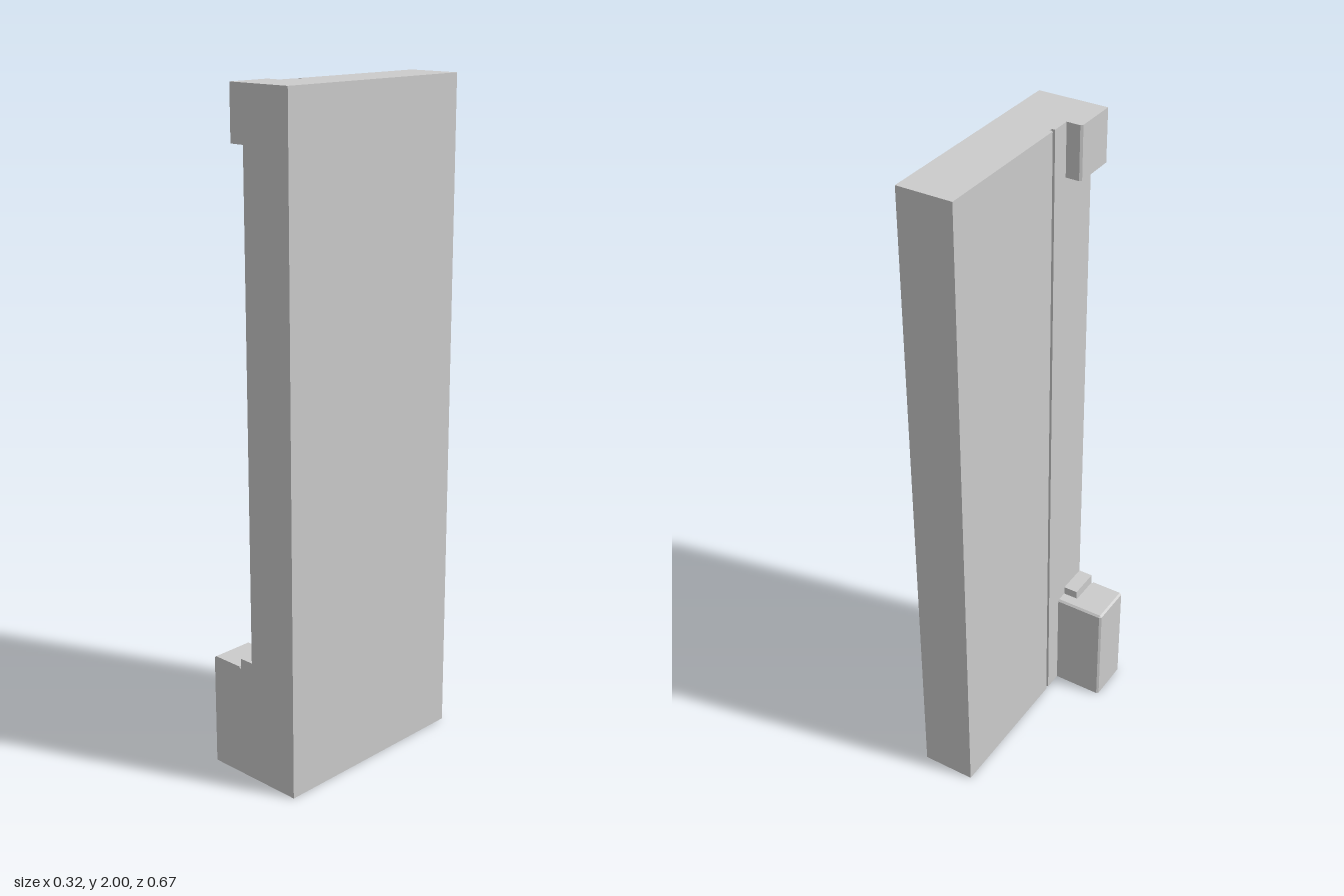
import * as THREE from 'three';
import { ConvexGeometry } from 'three/addons/geometries/ConvexGeometry.js';

const material = new THREE.MeshStandardMaterial({ color: 0xcccccc, flatShading: true });

const X0 = -0.004, X1 = 0.162;   // slab faces
const Z = 0.333;                 // half depth of the slab
const ZB = 0.197;                // back face of the brackets
const C = 0.006;                 // chamfer size

function addMesh(group, name, geometry) {
  const mesh = new THREE.Mesh(geometry, material);
  mesh.name = name;
  group.add(mesh);
  return mesh;
}

function addBox(group, name, [x0, x1], [y0, y1], [z0, z1]) {
  const mesh = addMesh(group, name, new THREE.BoxGeometry(x1 - x0, y1 - y0, z1 - z0));
  mesh.position.set((x0 + x1) / 2, (y0 + y1) / 2, (z0 + z1) / 2);
}

// Convex solid from horizontal rings: [height, [[x, z], ...]]
function addHull(group, name, rings) {
  const points = rings.flatMap(([y, ring]) => ring.map(([x, z]) => new THREE.Vector3(x, y, z)));
  addMesh(group, name, new ConvexGeometry(points));
}

// Plan outline with its back right corner cut off
const cutCorner = (x0, x1) => [[x0, Z], [x0, ZB + C], [x0 + C, ZB], [x1, ZB], [x1, Z]];

export function createModel() {
  const group = new THREE.Group();
  const middle = 0.06;

  // Inner half of the slab, with a groove running the full height
  const plan = [
    [X0, -Z], [middle, -Z], [middle, Z], [X0, Z],
    [X0, 0.139], [0.007, 0.139], [0.007, 0.127], [X0, 0.127],
  ];
  const inner = new THREE.ExtrudeGeometry(
    new THREE.Shape(plan.map(([x, z]) => new THREE.Vector2(x, -z))),
    { depth: 2, bevelEnabled: false });
  inner.rotateX(-Math.PI / 2);
  addMesh(group, 'groovedSlab', inner);

  // Outer half of the slab, with a small slot in its face
  const rect = (z0, z1, y0, y1) =>
    [[-z0, y0], [-z1, y0], [-z1, y1], [-z0, y1]].map(([a, b]) => new THREE.Vector2(a, b));
  const face = new THREE.Shape(rect(-Z, Z, 0, 2));
  face.holes.push(new THREE.Path(rect(0.132, 0.143, 0.338, 0.375)));
  const outer = new THREE.ExtrudeGeometry(face, { depth: X1 - middle, bevelEnabled: false });
  outer.rotateY(Math.PI / 2).translate(middle, 0, 0);
  addMesh(group, 'slottedSlab', outer);

  // Foot block, chamfered along its top and its back corner
  const top = 0.343, split = -0.057, xf = -0.162;
  const foot = cutCorner(xf, split);
  addHull(group, 'footBlock', [
    [0, foot], [top - C, foot],
    [top, [[xf + C, Z], [xf + C, ZB + C], [split, ZB + C], [split, Z]]],
  ]);
  const neck = [[split, 0.235], [split, ZB], [X0, ZB], [X0, 0.235]];
  addHull(group, 'footNeck', [
    [0, neck], [top - C, neck],
    [top, [[split, 0.235], [split, ZB + C], [X0, ZB + C], [X0, 0.235]]],
  ]);

  // Shallow channel beside the raised step
  addBox(group, 'footChannel', [split, X0], [0, top - 0.005], [0.235, Z]);
  addBox(group, 'footStep', [-0.05, X0], [top - 0.005, 0.37], [0.235, Z]);

  // Top bracket
  const bracket = cutCorner(-0.051, X0);
  addHull(group, 'topBracket', [[1.842, bracket], [2, bracket]]);

  return group;
}
